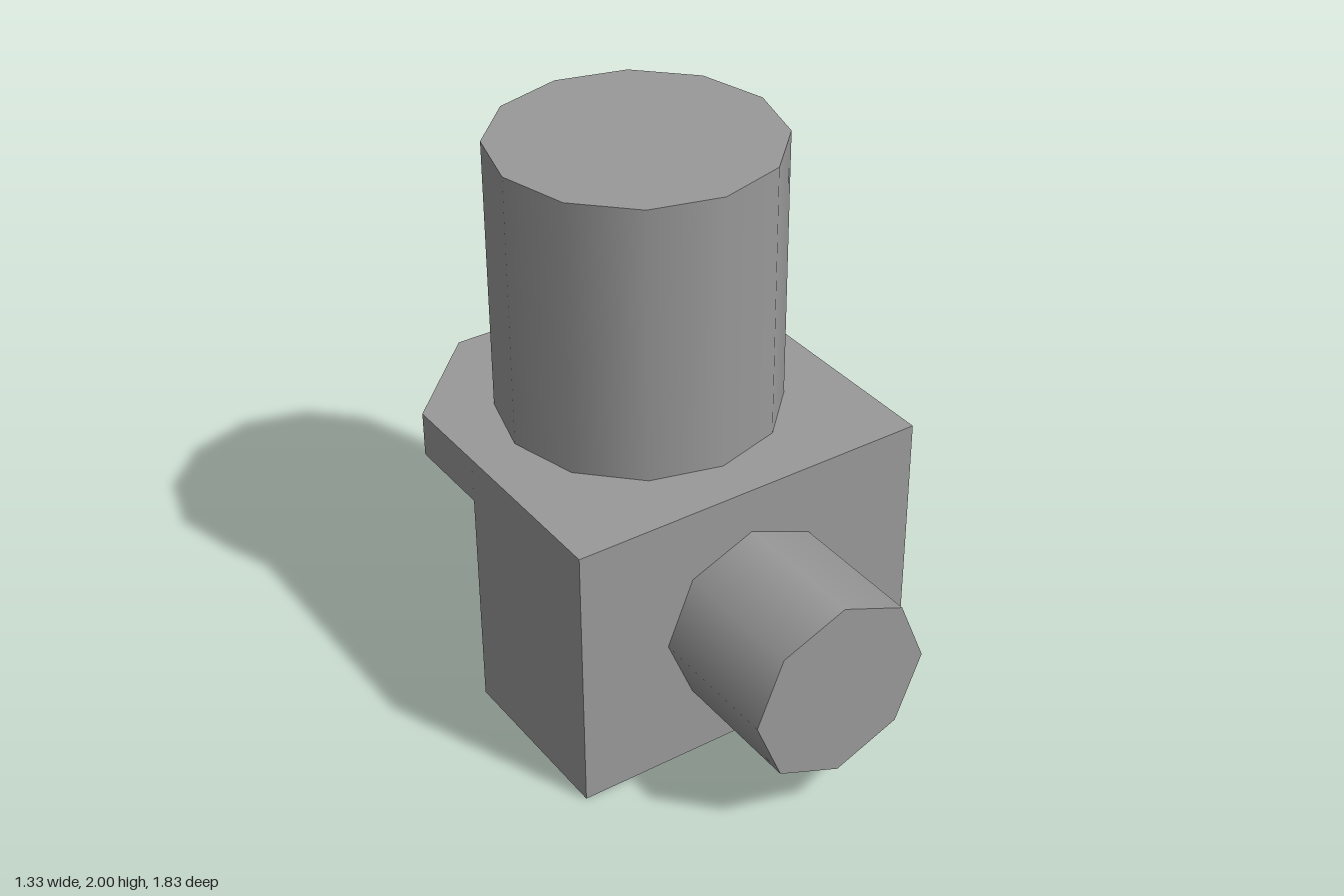
import * as THREE from 'three';

export function createModel() {
  const model = new THREE.Group();
  const grey = new THREE.MeshStandardMaterial({ color: 0x999999 });
  grey.name = 'grey';

  const add = (name, geometry, x, y, z) => {
    const mesh = new THREE.Mesh(geometry, grey);
    mesh.name = name;
    mesh.position.set(x, y, z);
    model.add(mesh);
  };

  // Main block
  add('body', new THREE.BoxGeometry(1.3333, 1, 0.6667), 0, 0.5, 0.0833);

  // Chamfered shelf overhanging the back, drawn in plan and extruded upward
  const plan = new THREE.Shape([
    [-0.6667, 0.25], [0.6667, 0.25], [0.6667, 0.5833],
    [0.3333, 0.9167], [-0.3333, 0.9167], [-0.6667, 0.5833],
  ].map(([x, y]) => new THREE.Vector2(x, y)));
  const shelf = new THREE.ExtrudeGeometry(plan, { depth: 0.1667, bevelEnabled: false });
  shelf.rotateX(-Math.PI / 2);
  add('rearShelf', shelf, 0, 0.8333, 0);

  // Twelve-sided column on top
  add('topColumn', new THREE.CylinderGeometry(0.5, 0.5, 1, 12), 0, 1.5, -0.25);

  // Eight-sided barrel at the front
  const barrel = new THREE.CylinderGeometry(0.3333, 0.3333, 0.5, 8);
  barrel.rotateX(Math.PI / 2);
  add('frontBarrel', barrel, 0, 0.5, 0.6667);

  // Half roller across the back
  const roller = new THREE.CylinderGeometry(0.25, 0.25, 1, 4, 1, false, Math.PI / 2, Math.PI);
  roller.rotateZ(Math.PI / 2);
  add('rearRoller', roller, 0, 0.4167, -0.25);

  return model;
}
